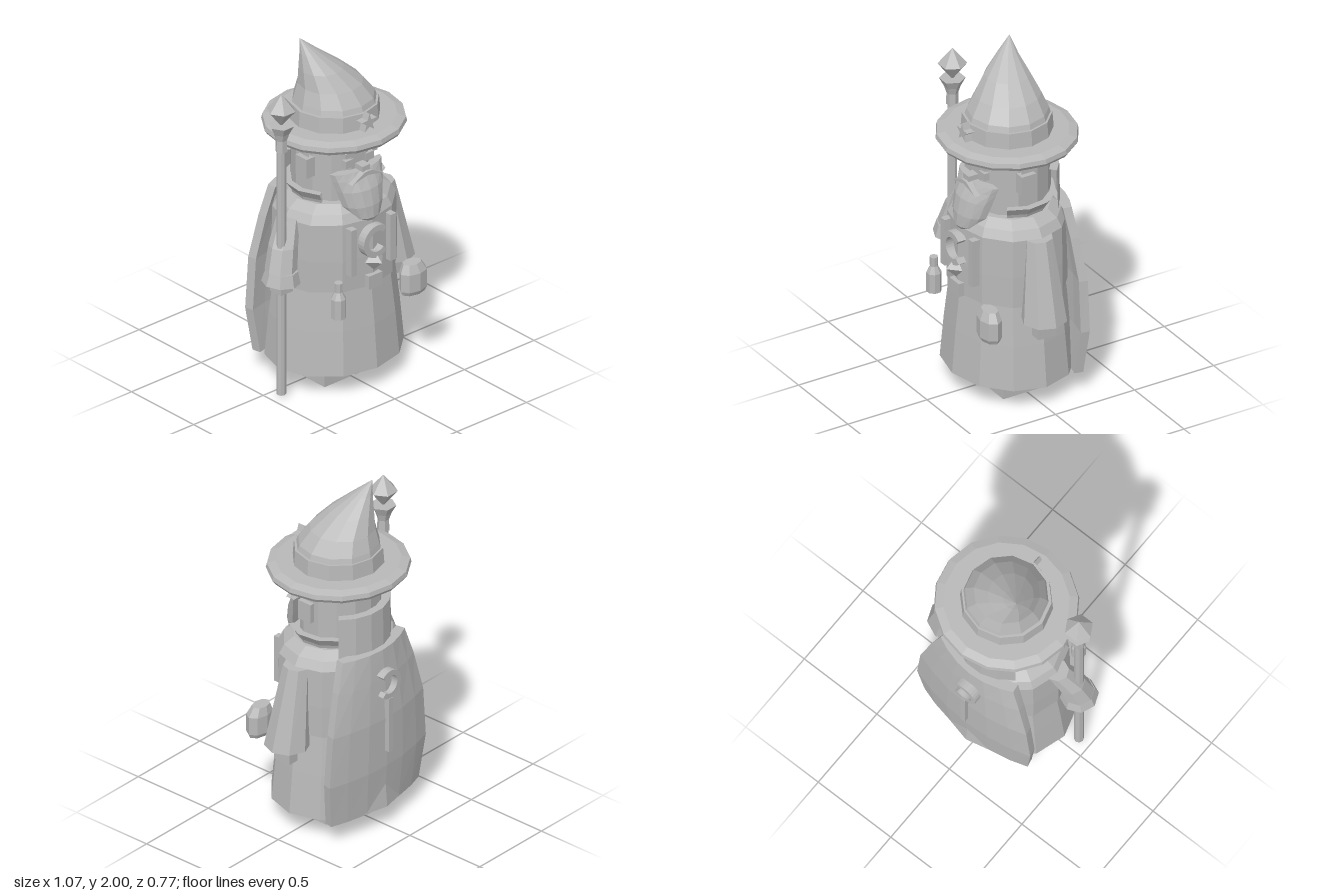
import * as THREE from 'three';

const grey = new THREE.MeshStandardMaterial({ color: 0xb8b8b8, side: THREE.DoubleSide });
grey.name = 'stone grey';
const CX = 0.01; // centre line of the body

// Horizontal elliptical ring of points, anticlockwise from above
function ring(y, cx, cz, rx, rz = rx, n = 12, rot = 0) {
  return Array.from({ length: n }, (_, i) => {
    const a = (i / n) * Math.PI * 2 + rot;
    return new THREE.Vector3(cx + rx * Math.sin(a), y, cz + rz * Math.cos(a));
  });
}

// Closed faceted solid through rings, bottom to top
function loft(rings) {
  const pts = [];
  const n = rings[0].length;
  for (let i = 0; i < rings.length - 1; i++) {
    for (let j = 0; j < n; j++) {
      const k = (j + 1) % n, lo = rings[i], hi = rings[i + 1];
      pts.push(lo[j], lo[k], hi[k], lo[j], hi[k], hi[j]);
    }
  }
  for (const [r, top] of [[rings[0], false], [rings[rings.length - 1], true]]) {
    const c = r.reduce((s, p) => s.add(p), new THREE.Vector3()).divideScalar(n);
    for (let j = 0; j < n; j++) {
      const k = (j + 1) % n;
      if (top) pts.push(c, r[j], r[k]);
      else pts.push(c, r[k], r[j]);
    }
  }
  return new THREE.BufferGeometry().setFromPoints(pts);
}

export function createModel() {
  const model = new THREE.Group();

  function add(name, geo, x = 0, y = 0, z = 0) {
    const flat = geo.index ? geo.toNonIndexed() : geo;
    flat.computeVertexNormals();
    const mesh = new THREE.Mesh(flat, grey);
    mesh.name = name;
    mesh.position.set(x, y, z);
    model.add(mesh);
    return mesh;
  }
  const box = (name, w, h, d, x, y, z) => add(name, new THREE.BoxGeometry(w, h, d), x, y, z);
  const plate = (shape, depth) =>
    new THREE.ExtrudeGeometry(shape, { depth, bevelEnabled: false, curveSegments: 10 });
  // Band of a lathe, swept from the given angle
  const band = (profile, n, start, sweep) =>
    new THREE.LatheGeometry(profile.map(p => new THREE.Vector2(...p)), n, start, sweep);

  // Feet
  for (const s of [-1, 1]) box('foot', 0.185, 0.13, 0.24, CX + s * 0.11, 0.065, 0.03);

  // Robe, belt and buckle
  const round = (list, zs, n = 12) => loft(list.map(([y, r]) => ring(y, CX, 0, r, r * zs, n)));
  add('robeSkirt', round([[0.125, 0.4], [0.38, 0.375], [0.62, 0.345]], 0.87));
  add('robeBody', round([[0.615, 0.358], [0.8, 0.36], [1.02, 0.355], [1.07, 0.325], [1.11, 0.265]], 0.87));
  box('buckle', 0.095, 0.08, 0.04, CX, 0.65, 0.315);

  // Robe trim: bars, crescent and gem
  for (const s of [-1, 1]) box('robeBar', 0.04, 0.28, 0.05, CX + s * 0.14, 0.86, 0.295);
  const crescent = (r, t) => {
    const s = new THREE.Shape();
    s.absarc(0, 0, r, 0.8, Math.PI * 2 - 0.8, false);
    s.absarc(0, 0, r - t, Math.PI * 2 - 0.8, 0.8, true);
    return plate(s, 0.05);
  };
  add('chestCrescent', crescent(0.097, 0.035), CX, 0.895, 0.3);
  add('chestGem', new THREE.OctahedronGeometry(0.063), CX, 0.775, 0.322);

  // Head, hair and ears
  add('head', loft([1.08, 1.5].map(y => ring(y, CX, 0, 0.21, 0.207, 12, Math.PI / 12))));
  add('hair', new THREE.CylinderGeometry(0.232, 0.232, 0.4, 8, 1, false, Math.PI * 0.43, Math.PI * 1.14), CX, 1.3, 0);
  for (const s of [-1, 1]) {
    box('ear', 0.06, 0.115, 0.09, CX + s * 0.225, 1.308, 0.02);
    box('eyebrow', 0.062, 0.028, 0.045, CX + s * 0.077, 1.39, 0.19);
    box('eye', 0.055, 0.045, 0.035, CX + s * 0.073, 1.333, 0.19);
    const half = new THREE.Shape([
      [0, 0.035], [0.03, 0.032], [0.115, -0.015], [0.06, 0], [0, 0.012],
    ].map(([x, y]) => new THREE.Vector2(x, y)));
    const m = add('moustache', plate(half, 0.035), CX, 1.257, 0.24);
    if (s < 0) { m.rotation.y = Math.PI; m.position.z += 0.035; }
  }
  box('nose', 0.055, 0.055, 0.08, CX, 1.293, 0.22);

  // Beard: half-oval sections narrowing to a rounded tip
  const beardRing = ([y, w, back, front]) => Array.from({ length: 9 }, (_, i) => {
    const a = -Math.PI / 2 + (i / 8) * Math.PI;
    return new THREE.Vector3(CX + w * Math.sin(a), y, back + (front - back) * Math.cos(a));
  });
  add('beard', loft([
    [1.005, 0.05, 0.25, 0.305], [1.03, 0.095, 0.235, 0.32], [1.1, 0.132, 0.215, 0.316],
    [1.19, 0.155, 0.19, 0.295], [1.25, 0.17, 0.175, 0.262], [1.29, 0.18, 0.165, 0.24],
  ].map(beardRing)));

  // Collar, open at the front, and the tall back collar
  const collar = add('collar', band([[0.23, 1.1], [0.245, 1.1], [0.255, 1.13], [0.29, 1.178], [0.25, 1.178], [0.23, 1.1]],
    9, 0.95, Math.PI * 2 - 1.9), CX);
  collar.scale.z = 0.88;
  const backCollar = add('backCollar', band([[0.235, 1.07], [0.285, 1.07], [0.28, 1.315], [0.235, 1.315], [0.235, 1.07]],
    5, Math.PI - 0.85, 1.7), CX);
  backCollar.name = 'backCollar';

  // Cape: curved slab, outer side then inner side in each section
  const capeRing = ([y, w, back]) => {
    const ts = [-1, -0.72, -0.36, 0, 0.36, 0.72, 1];
    const inner = ts.map(t => new THREE.Vector3(CX + t * w * 0.97, y, back + 0.065 + 0.05 * t * t));
    const outer = ts.map(t => new THREE.Vector3(CX - t * w, y, back + 0.065 * t * t));
    return [...inner, ...outer];
  };
  add('cape', loft([
    [0.12, 0.355, -0.325], [0.38, 0.39, -0.345], [0.68, 0.365, -0.348],
    [0.92, 0.305, -0.333], [1.09, 0.25, -0.317],
  ].map(capeRing)));
  add('capeCrescent', crescent(0.085, 0.03), CX, 0.895, -0.372);
  box('capeStem', 0.03, 0.33, 0.045, CX, 0.645, -0.352);

  // Hat: brim, band, bent cone and star
  add('hatBrim', round([[1.48, 0.385], [1.5, 0.398], [1.525, 0.392], [1.54, 0.345]], 0.97, 16));
  add('hatBand', round([[1.53, 0.255], [1.63, 0.247]], 0.98));
  add('hatCone', loft([
    [1.6, 0.013, 0, 0.24], [1.66, 0.012, -0.003, 0.222], [1.74, -0.005, -0.015, 0.18],
    [1.83, -0.05, -0.038, 0.125], [1.92, -0.1, -0.072, 0.058], [2, -0.14, -0.108, 0.002],
  ].map(([y, x, z, r]) => ring(y, x, z, r))));
  const star = new THREE.Shape(Array.from({ length: 10 }, (_, i) => {
    const r = i % 2 ? 0.023 : 0.057, a = Math.PI / 2 + (i * Math.PI) / 5;
    return new THREE.Vector2(r * Math.cos(a), r * Math.sin(a));
  }));
  add('hatStar', plate(star, 0.045), CX, 1.588, 0.24);

  // Left arm: wide straight sleeve and hand
  const tube = (list, n = 8, rot = 0) => loft(list.map(([y, x, z, rx, rz]) => ring(y, x, z, rx, rz, n, rot)));
  add('leftSleeve', tube([[0.55, 0.41, 0.015, 0.123, 0.128], [1.02, 0.345, 0.005, 0.068, 0.078]]));
  box('leftHand', 0.065, 0.12, 0.11, 0.417, 0.515, 0.02);

  // Right arm reaching to the staff
  const SX = -0.432, SZ = 0.07;
  add('rightSleeve', tube([[0.77, -0.43, 0.065, 0.088], [0.9, -0.395, 0.045, 0.08], [1.03, -0.33, 0.01, 0.065]]));
  const cuff = add('rightCuff', new THREE.CylinderGeometry(0.088, 0.106, 0.07, 8), SX, 0.73, SZ);
  cuff.rotation.z = -0.08;
  box('rightHand', 0.085, 0.08, 0.09, SX, 0.68, SZ);

  // Staff with flared cup and crystal
  add('staff', tube([[0.015, SX, SZ, 0.027], [1.52, SX, SZ, 0.027]], 8));
  add('staffCup', tube([
    [1.49, SX, SZ, 0.034], [1.56, SX, SZ, 0.032], [1.6, SX, SZ, 0.045], [1.65, SX, SZ, 0.072],
  ], 6, Math.PI / 6));
  add('staffCrystal', tube([
    [1.645, SX, SZ, 0.003], [1.74, SX, SZ, 0.08], [1.83, SX, SZ, 0.003],
  ], 6, Math.PI / 6));

  // Belt pouch and bottle
  add('pouch', tube([
    [0.465, 0.31, 0.3, 0.075, 0.045], [0.49, 0.31, 0.3, 0.088, 0.058],
    [0.595, 0.31, 0.3, 0.088, 0.058], [0.645, 0.305, 0.295, 0.06, 0.04],
  ]));
  add('bottle', tube([
    [0.505, -0.235, 0.31, 0.042], [0.62, -0.235, 0.31, 0.042],
    [0.66, -0.235, 0.31, 0.022], [0.715, -0.235, 0.31, 0.024],
  ], 8, Math.PI / 8));

  return model;
}
